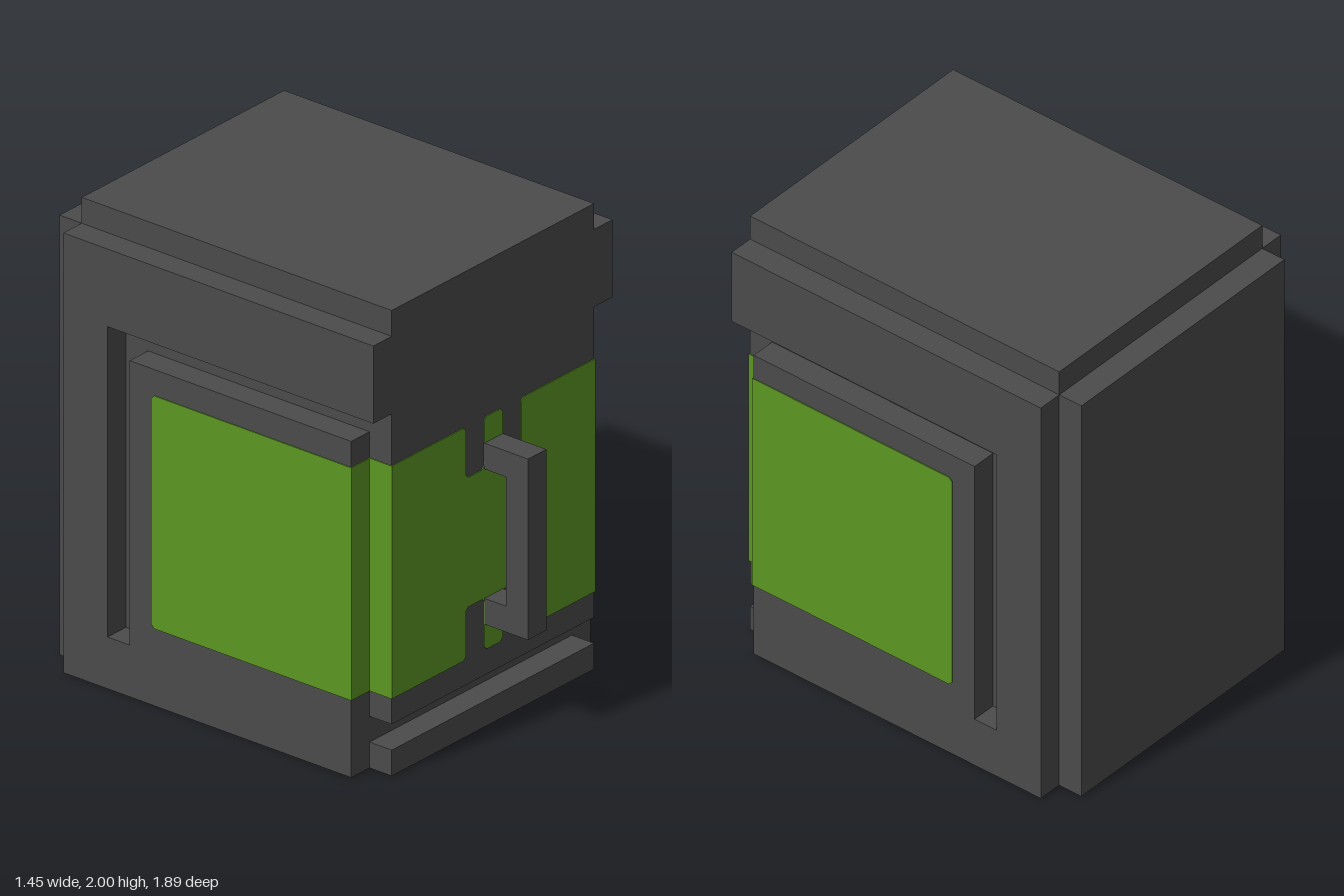
import * as THREE from 'three';

const U = 1 / 9;      // grid unit, all outlines are given in it
const T = 0.004;      // thickness of painted plates

const dark = new THREE.MeshStandardMaterial({ color: 0x4b4b4b });
dark.name = 'darkGrey';
const green = new THREE.MeshStandardMaterial({ color: 0x5b9722 });
green.name = 'green';

// Closed shape from points in grid units; corners passing the test are cut off
function outline(points, cutCorner = () => false) {
  const c = 0.13, out = [];
  points.forEach((p, i) => {
    if (!cutCorner(p)) { out.push(new THREE.Vector2(...p)); return; }
    const n = points.length;
    for (const q of [points[(i + n - 1) % n], points[(i + 1) % n]]) {
      const a = new THREE.Vector2(...p), d = new THREE.Vector2(...q).sub(a).setLength(c);
      out.push(a.add(d));
    }
  });
  return new THREE.Shape(out.map((v) => v.multiplyScalar(U)));
}

// Extrude a (z, y) profile sideways from x0 to x1
function sideExtrude(shape, x0, x1) {
  const g = new THREE.ExtrudeGeometry(shape, { depth: x1 - x0, bevelEnabled: false });
  return g.rotateY(-Math.PI / 2).translate(x1, 0, 0);
}

function box(x0, x1, y0, y1, z0, z1) {
  return new THREE.BoxGeometry(x1 - x0, y1 - y0, z1 - z0)
    .translate((x0 + x1) / 2, (y0 + y1) / 2, (z0 + z1) / 2);
}

export function createModel() {
  const model = new THREE.Group();
  model.name = 'cabinet';
  const add = (name, geometry, material) => {
    const m = new THREE.Mesh(geometry, material);
    m.name = name;
    model.add(m);
  };

  // Main body: stepped back plate, door face, toe slot and base lip
  const body = outline([[-8.5, 0], [6.5, 0], [6.5, 1], [5.5, 1], [5.5, 2], [6.5, 2],
    [6.5, 18], [-7.5, 18], [-7.5, 17], [-8.5, 17]]);
  add('body', sideExtrude(body, -5.5 * U, 5.5 * U), dark);

  // Handle bracket
  const handle = outline([[6.5, 4], [8.5, 4], [8.5, 11], [6.5, 11], [6.5, 10],
    [7.5, 10], [7.5, 5], [6.5, 5]]);
  add('handle', sideExtrude(handle, -0.5 * U, 0.5 * U), dark);

  // Green door paint with slots around the handle mounts
  const doorPaint = outline([[-5.5, 3], [-1.5, 3], [-1.5, 5], [-0.5, 5], [-0.5, 3],
    [0.5, 3], [0.5, 5], [1.5, 5], [1.5, 3], [5.5, 3], [5.5, 12], [1.5, 12], [1.5, 10],
    [0.5, 10], [0.5, 12], [-0.5, 12], [-0.5, 10], [-1.5, 10], [-1.5, 12], [-5.5, 12]],
  ([x]) => Math.abs(x) < 5);
  add('doorPaint', new THREE.ExtrudeGeometry(doorPaint, { depth: T, bevelEnabled: false })
    .translate(0, 0, 6.5 * U), green);

  // Side panels with an L-shaped groove, and their paint
  const panel = outline([[5.5, 0], [5.5, 13], [-4.5, 13], [-4.5, 2], [-5.5, 2], [-5.5, 14],
    [6.5, 14], [6.5, 17], [-7.5, 17], [-7.5, 0]]);
  const panelPaint = outline([[-3.5, 3], [5.5, 3], [5.5, 12], [-3.5, 12]], ([z]) => z < 0);
  for (const [side, s] of [['left', 1], ['right', -1]]) {
    const span = (a, b) => (s > 0 ? [a, b] : [-b, -a]);
    const inner = 5.5 * U, outer = 6.5 * U;
    add(side + 'Panel', sideExtrude(panel, ...span(inner, outer)), dark);
    add(side + 'PanelPaint', sideExtrude(panelPaint, ...span(outer, outer + T)), green);
    add(side + 'PanelFrontPaint',
      box(...span(inner, outer + T), 3 * U, 12 * U, inner, inner + T), green);
    add(side + 'DoorEdgePaint',
      box(...span(inner, inner + T), 3 * U, 12 * U, inner, outer + T), green);
  }
  return model;
}
